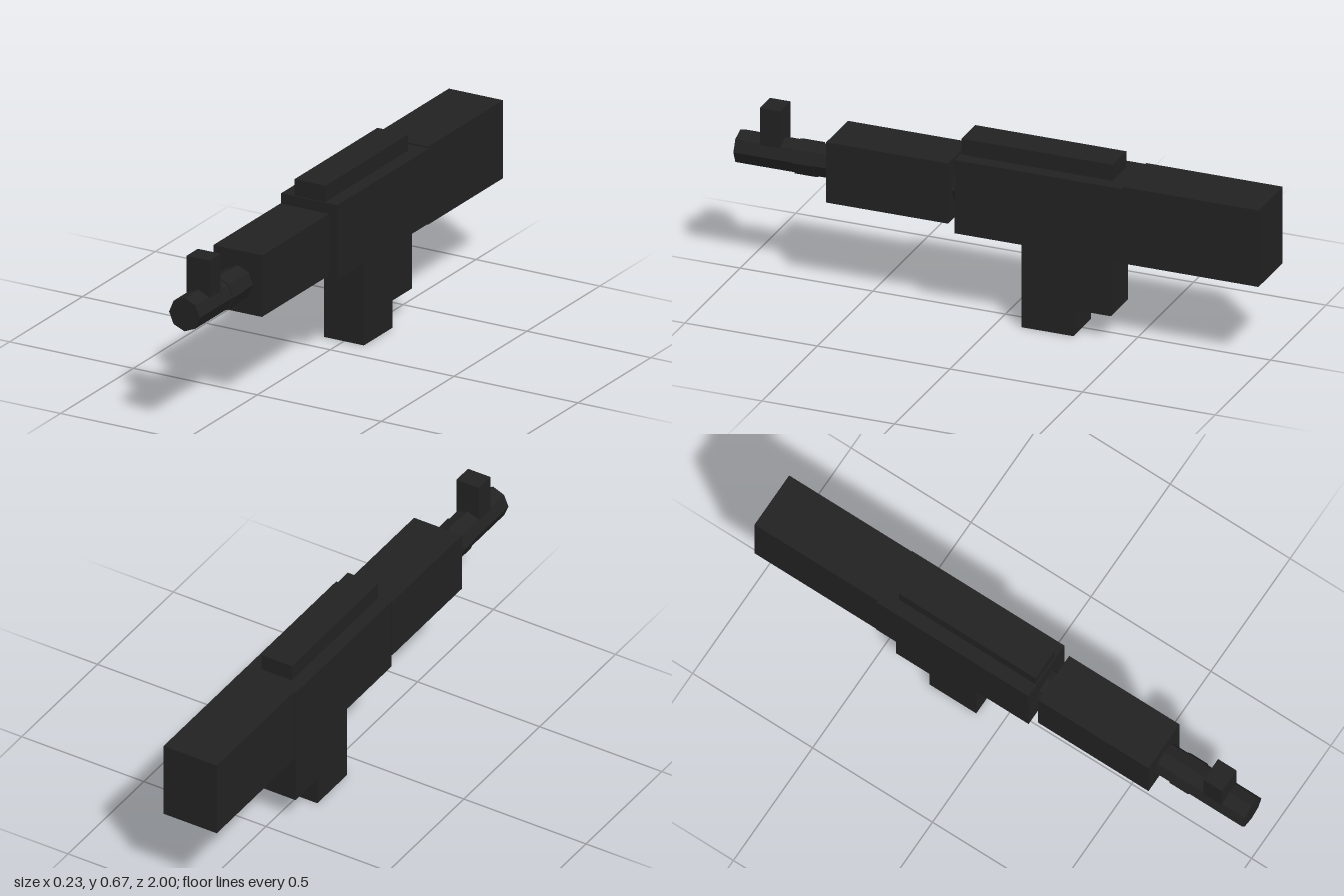
import * as THREE from 'three';

export function createModel() {
  const group = new THREE.Group();
  const darkMetal = new THREE.MeshStandardMaterial({ color: 0x222222 });
  darkMetal.name = 'dark metal';
  const boreY = 0.468;

  // Box centred on x, given its half width and its y and z ranges
  function block(name, halfWidth, y0, y1, z0, z1) {
    const mesh = new THREE.Mesh(new THREE.BoxGeometry(halfWidth * 2, y1 - y0, z1 - z0), darkMetal);
    mesh.position.set(0, (y0 + y1) / 2, (z0 + z1) / 2);
    mesh.name = name;
    group.add(mesh);
  }

  // Faceted eight-sided tube along z, with a corner at the top
  function octagon(name, radius, z0, z1) {
    const geometry = new THREE.CylinderGeometry(radius, radius, z1 - z0, 8).rotateX(Math.PI / 2).toNonIndexed();
    geometry.computeVertexNormals();
    const mesh = new THREE.Mesh(geometry, darkMetal);
    mesh.position.set(0, boreY, (z0 + z1) / 2);
    mesh.name = name;
    group.add(mesh);
  }

  // Body
  block('stock', 0.109, 0.325, 0.617, -1, -0.485);
  block('receiver', 0.113, 0.331, 0.611, -0.49, 0.145);
  block('topRail', 0.062, 0.6, 0.672, -0.43, 0.14);
  block('handguard', 0.098, 0.356, 0.586, 0.175, 0.635);

  // Magazine and grip below the receiver
  block('magazine', 0.08, 0, 0.34, -0.29, -0.095);
  block('grip', 0.078, 0.1, 0.34, -0.43, -0.285);

  // Barrel, its collar and the front sight
  octagon('barrel', 0.062, 0.1, 1);
  octagon('barrelCollar', 0.066, 0.7, 0.775);
  block('frontSight', 0.046, 0.48, 0.648, 0.83, 0.907);

  return group;
}
